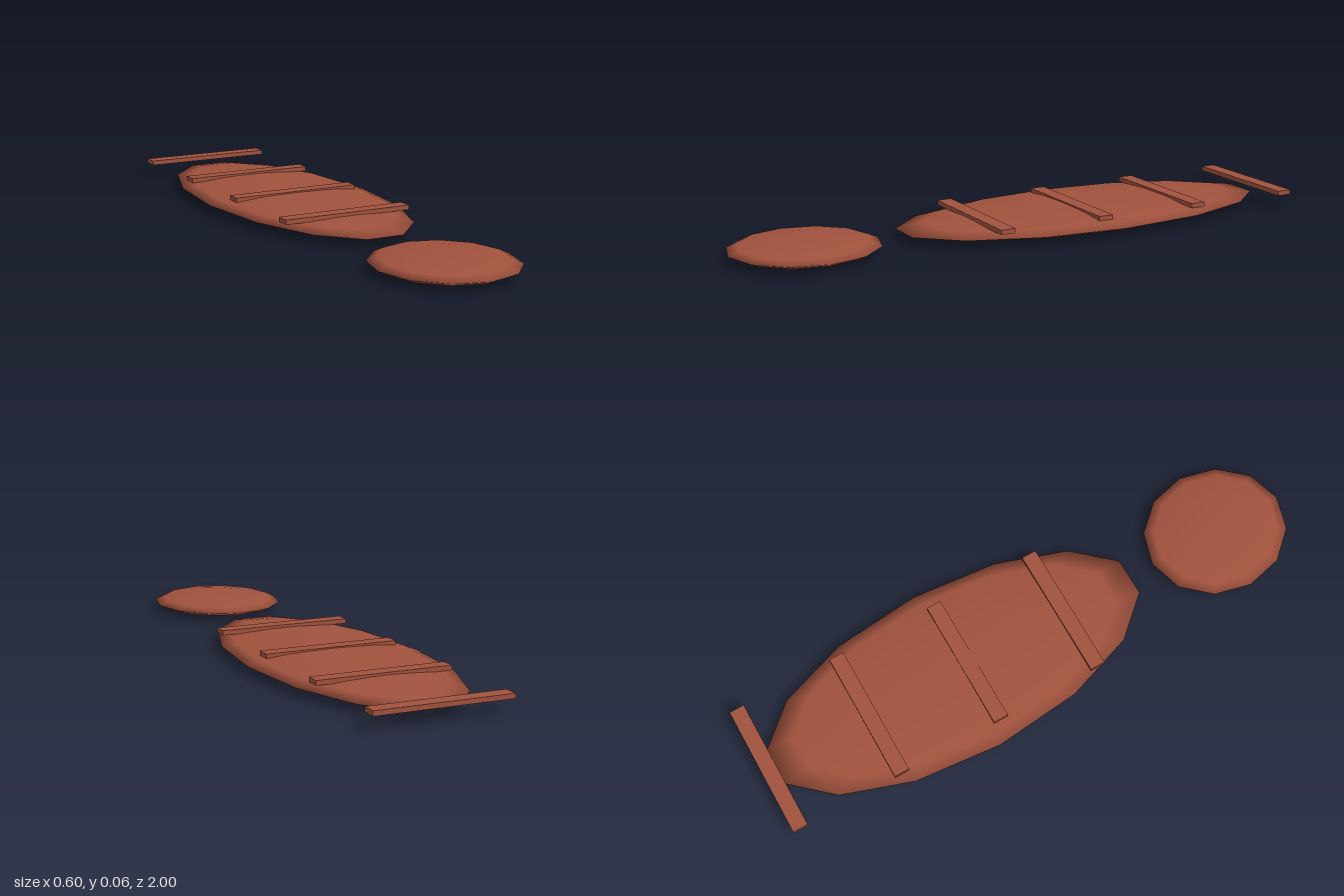
import * as THREE from 'three';

export function createModel() {
  const model = new THREE.Group();
  const clay = new THREE.MeshStandardMaterial({ color: 0xa0523d });
  clay.name = 'redBrown';

  const add = (name, geometry, x, y, z) => {
    const mesh = new THREE.Mesh(geometry, clay);
    mesh.name = name;
    mesh.position.set(x, y, z);
    model.add(mesh);
    return mesh;
  };

  // Flattened ellipsoids resting on the ground, one long and one short
  const halfHeight = 0.029;
  const disc = (name, sides, rx, rz, z) =>
    add(name, new THREE.SphereGeometry(1, sides, 6), 0, halfHeight, z).scale.set(rx, halfHeight, rz);
  disc('body', 14, 0.3, 0.692, -0.275);
  disc('head', 12, 0.23, 0.253, 0.745);

  // Evenly spaced cross bars, the last one just behind the body
  const barGeometry = new THREE.BoxGeometry(0.462, 0.016, 0.052);
  for (let i = 0; i < 4; i++) {
    add('crossBar' + (i + 1), barGeometry, 0, 0.0535, 0.136 - i * 0.37);
  }

  return model;
}
